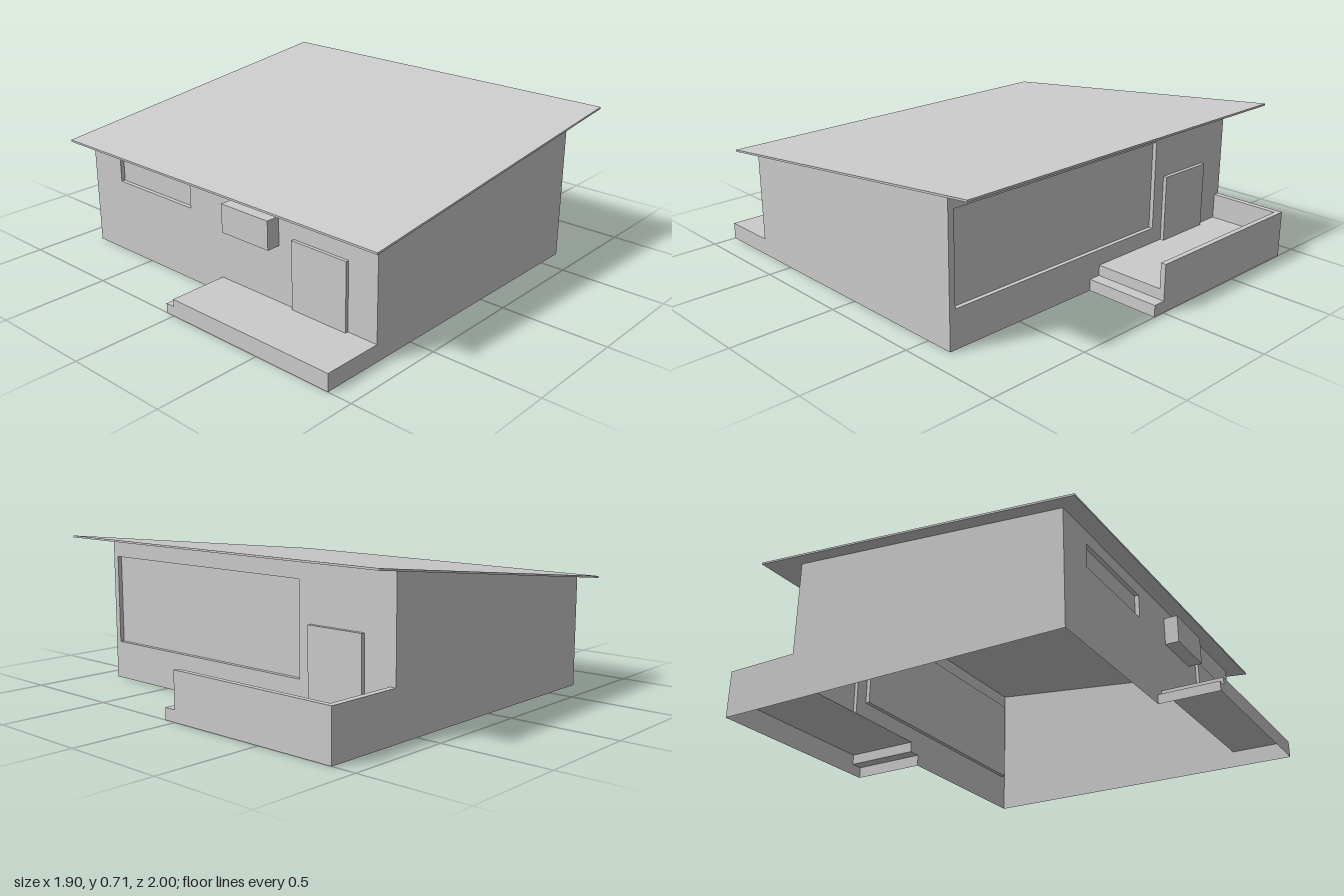
import * as THREE from 'three';
import { mergeGeometries } from 'three/addons/utils/BufferGeometryUtils.js';

const material = new THREE.MeshStandardMaterial({ color: 0xcccccc, flatShading: true, side: THREE.DoubleSide });
const W = 0.885, FRONT = 0.715, BACK = 0.635;        // half width, wall distances
const roofY = z => 0.515 + (0.8 - z) * 0.1142;       // underside of the sloping roof

function mesh(name, geometry) {
  const m = new THREE.Mesh(geometry, material);
  m.name = name;
  return m;
}

// Four-cornered face, corners anticlockwise seen from outside
function quad(a, b, c, d) {
  const g = new THREE.BufferGeometry();
  g.setAttribute('position', new THREE.Float32BufferAttribute([a, b, c, a, c, d].flat(), 3));
  g.computeVertexNormals();
  return g;
}

function flat(outline, z, holes = []) {
  const shape = new THREE.Shape(outline.map(p => new THREE.Vector2(...p)));
  for (const h of holes) shape.holes.push(new THREE.Path(h.map(p => new THREE.Vector2(...p))));
  const g = new THREE.ShapeGeometry(shape).translate(0, 0, z).toNonIndexed();
  g.deleteAttribute('uv');
  return g;
}

// Thin shell raised (depth > 0) or sunk (depth < 0) from a wall; clockwise outline
function relief(name, outline, z, depth, closed) {
  const parts = [flat(outline, z + depth)];
  const n = outline.length;
  for (let i = 0; i < (closed ? n : n - 1); i++) {
    const p = outline[i], q = outline[(i + 1) % n];
    parts.push(quad([...p, z + depth], [...q, z + depth], [...q, z], [...p, z]));
  }
  return mesh(name, mergeGeometries(parts));
}

const rect = (x0, x1, y0, y1) => [[x0, y0], [x0, y1], [x1, y1], [x1, y0]];

// One long wall with its windows, door, deck and step
function facade(name, { z, top, panels, door, doorDepth, deck, deckProfile, stepX, stepY }) {
  const group = new THREE.Group();
  group.name = name;
  const outline = [
    [-W, 0], [-W, top], [W, top], [W, deck],
    ...[...door].reverse(),
    [0, deck], [0, stepY], [stepX, stepY], [stepX, 0],
  ];
  group.add(mesh(name + 'Wall', flat(outline, z, panels.map(p => p.outline))));
  for (const p of panels) group.add(relief(p.name, p.outline, z, p.depth, true));
  group.add(relief(name + 'Door', door, z, doorDepth, false));
  group.add(relief(name + 'Deck', deckProfile, z, 1 - z, false));
  return group;
}

export function createModel() {
  const house = new THREE.Group();
  house.name = 'house';

  // Front: window, wall box, door, porch with a side step
  house.add(facade('front', {
    z: FRONT, top: roofY(FRONT), deck: 0.08, stepX: -0.045, stepY: 0.045,
    panels: [
      { name: 'frontWindow', outline: rect(-0.69, -0.195, 0.355, 0.465), depth: -0.02 },
      { name: 'wallBox', outline: rect(0.08, 0.355, 0.34, 0.472), depth: 0.065 },
    ],
    door: rect(0.44, 0.735, 0.08, 0.395), doorDepth: 0.015,
    deckProfile: [[-0.045, 0], [-0.045, 0.045], [0, 0.045], [0, 0.08], [W, 0.08], [W, 0]],
  }));

  // Back, built facing +z and turned round: large window, door, terrace
  const back = facade('back', {
    z: BACK, top: roofY(-BACK), deck: 0.105, stepX: -0.06, stepY: 0.055,
    panels: [{ name: 'backWindow', outline: rect(-0.855, 0.37, 0.18, 0.6), depth: -0.02 }],
    door: rect(0.435, 0.725, 0.105, 0.42), doorDepth: 0.018,
    deckProfile: [[-0.06, 0], [-0.06, 0.055], [0, 0.055], [0, 0.105],
      [0.855, 0.105], [0.855, 0.225], [W, 0.225], [W, 0]],
  });
  // Parapet along the outer edge of the terrace
  back.add(mesh('parapet', mergeGeometries([
    quad([0, 0.105, 1], [0.855, 0.105, 1], [0.855, 0.225, 1], [0, 0.225, 1]),
    quad([0, 0.225, 1], [0.855, 0.225, 1], [0.855, 0.225, 0.975], [0, 0.225, 0.975]),
    quad([0.855, 0.105, 0.975], [0, 0.105, 0.975], [0, 0.225, 0.975], [0.855, 0.225, 0.975]),
    quad([0, 0.105, 0.975], [0, 0.105, 1], [0, 0.225, 1], [0, 0.225, 0.975]),
  ])));
  back.rotation.y = Math.PI;
  house.add(back);

  // Sloping side walls
  for (const s of [1, -1]) {
    const c = [[s * W, 0, FRONT], [s * W, 0, -BACK], [s * W, roofY(-BACK), -BACK], [s * W, roofY(FRONT), FRONT]];
    if (s < 0) c.reverse();
    house.add(mesh(s > 0 ? 'leftWall' : 'rightWall', quad(...c)));
  }

  // Single-pitch roof: a thin slab sheared to the slope
  const roof = new THREE.BoxGeometry(1.9, 0.009, 1.62).translate(0, 0.0045, -0.01);
  const pos = roof.attributes.position;
  for (let i = 0; i < pos.count; i++) pos.setY(i, pos.getY(i) + roofY(pos.getZ(i)));
  roof.computeVertexNormals();
  house.add(mesh('roof', roof));

  return house;
}
